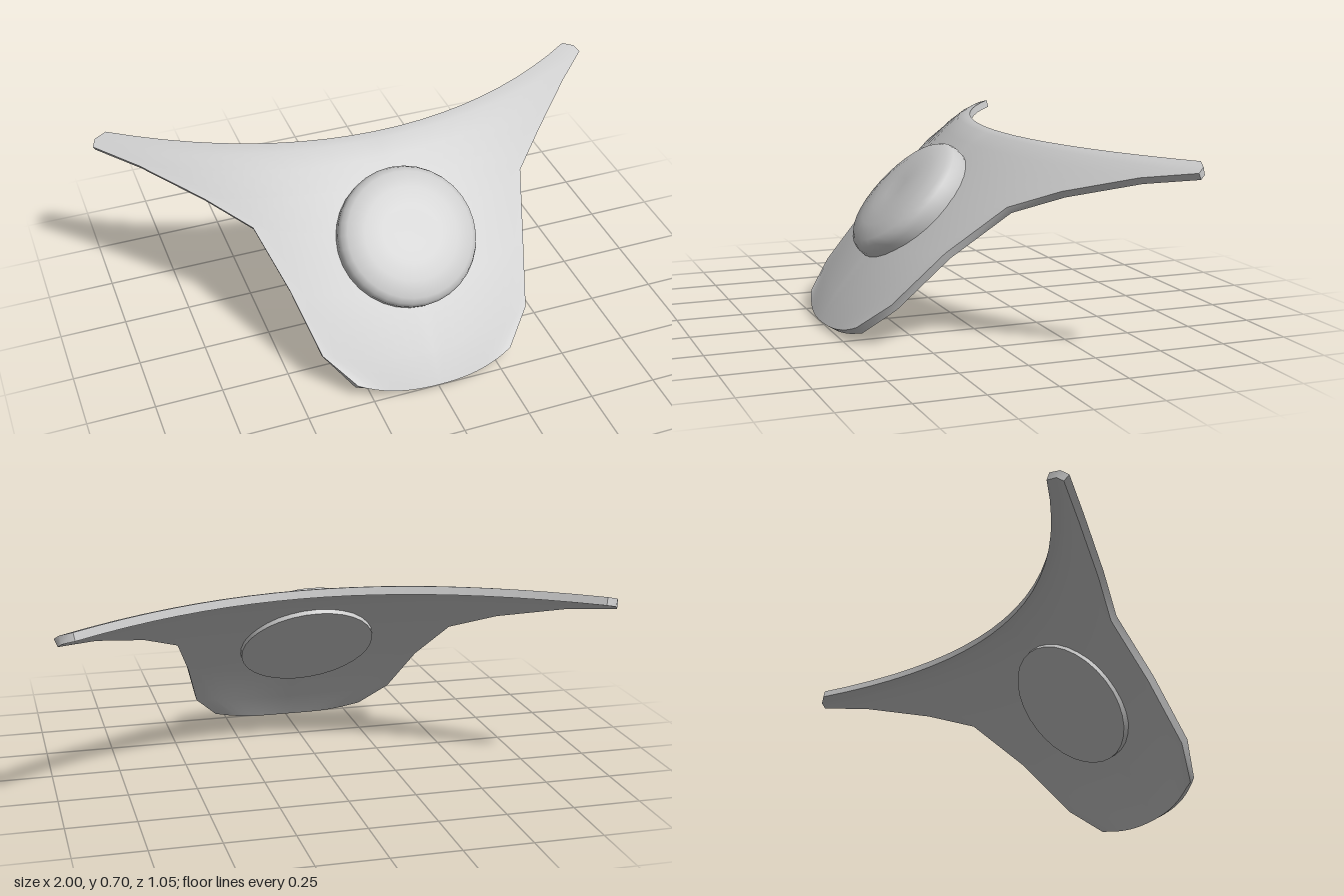
import * as THREE from 'three';
import { mergeVertices, toCreasedNormals } from 'three/addons/utils/BufferGeometryUtils.js';

// Each row sweeps across the plate: outer end x, y, z, then centre y, z, then bend power
const ROWS = [
  [0.30, 0.065, 0.465, 0.02, 0.515, 3],
  [0.40, 0.16, 0.37, 0.12, 0.45, 2],
  [0.46, 0.345, 0.19, 0.30, 0.30, 2],
  [0.53, 0.505, -0.01, 0.475, 0.125, 2],
  [0.67, 0.575, -0.15, 0.585, 0.0, 2],
  [0.86, 0.64, -0.345, 0.65, -0.08, 2],
  [1.0, 0.668, -0.485, 0.69, -0.14, 2],
  [0.985, 0.685, -0.51, 0.698, -0.162, 2],
  [0.94, 0.697, -0.525, 0.70, -0.175, 2],
];
const ACROSS = 20;
const THICKNESS = 0.03;

// Curved plate: upper skin, offset underside and a rim joining them
function plateGeometry() {
  const n = ACROSS + 1, rows = ROWS.length;
  const pos = [], top = [];
  for (const [ex, ey, ez, cy, cz, power] of ROWS) {
    for (let i = 0; i < n; i++) {
      const u = (2 * i) / ACROSS - 1;
      pos.push(u * ex,
        cy + (ey - cy) * Math.pow(Math.abs(u), power),
        cz + (ez - cz) * u * u);
    }
  }
  for (let r = 0; r < rows - 1; r++) {
    for (let i = 0; i < ACROSS; i++) {
      const a = r * n + i, b = a + 1, c = b + n, d = a + n;
      // mirrored diagonals keep both halves alike
      if (i < ACROSS / 2) top.push(a, b, d, b, c, d);
      else top.push(a, b, c, a, c, d);
    }
  }
  const skin = new THREE.BufferGeometry();
  skin.setAttribute('position', new THREE.Float32BufferAttribute(pos, 3));
  skin.setIndex(top);
  skin.computeVertexNormals();

  const normal = skin.attributes.normal.array;
  const all = pos.concat(pos.map((p, i) => p - normal[i] * THICKNESS));
  const count = n * rows;
  const index = top.slice();
  for (let i = 0; i < top.length; i += 3) {
    index.push(top[i] + count, top[i + 2] + count, top[i + 1] + count);
  }
  // rim loop: front, right, back, left
  const loop = [];
  for (let i = 0; i < ACROSS; i++) loop.push(i);
  for (let r = 0; r < rows - 1; r++) loop.push(r * n + ACROSS);
  for (let i = ACROSS; i > 0; i--) loop.push((rows - 1) * n + i);
  for (let r = rows - 1; r > 0; r--) loop.push(r * n);
  loop.forEach((p, k) => {
    const q = loop[(k + 1) % loop.length];
    index.push(p + count, q + count, q, p + count, q, p);
  });
  const geo = new THREE.BufferGeometry();
  geo.setAttribute('position', new THREE.Float32BufferAttribute(all, 3));
  geo.setIndex(index);
  return toCreasedNormals(geo, 0.8);
}

// Low round boss with a softened edge, a faintly dished top and a flat back
function bossGeometry() {
  const profile = [
    [0, -0.055], [0.255, -0.055], [0.261, 0], [0.262, 0.03], [0.254, 0.053],
    [0.235, 0.07], [0.175, 0.086], [0.11, 0.094], [0.05, 0.092], [0, 0.09],
  ].map(([x, y]) => new THREE.Vector2(x, y));
  const geo = new THREE.LatheGeometry(profile, 32);
  geo.deleteAttribute('uv');
  geo.deleteAttribute('normal');
  return toCreasedNormals(mergeVertices(geo), 0.8);
}

export function createModel() {
  const group = new THREE.Group();
  const material = new THREE.MeshStandardMaterial({ color: 0xcccccc });

  const plate = new THREE.Mesh(plateGeometry(), material);
  plate.name = 'wingedPlate';
  group.add(plate);

  const boss = new THREE.Mesh(bossGeometry(), material);
  boss.name = 'roundBoss';
  boss.position.set(0, 0.437, 0.152);
  boss.rotation.x = Math.PI / 4;
  group.add(boss);

  return group;
}
